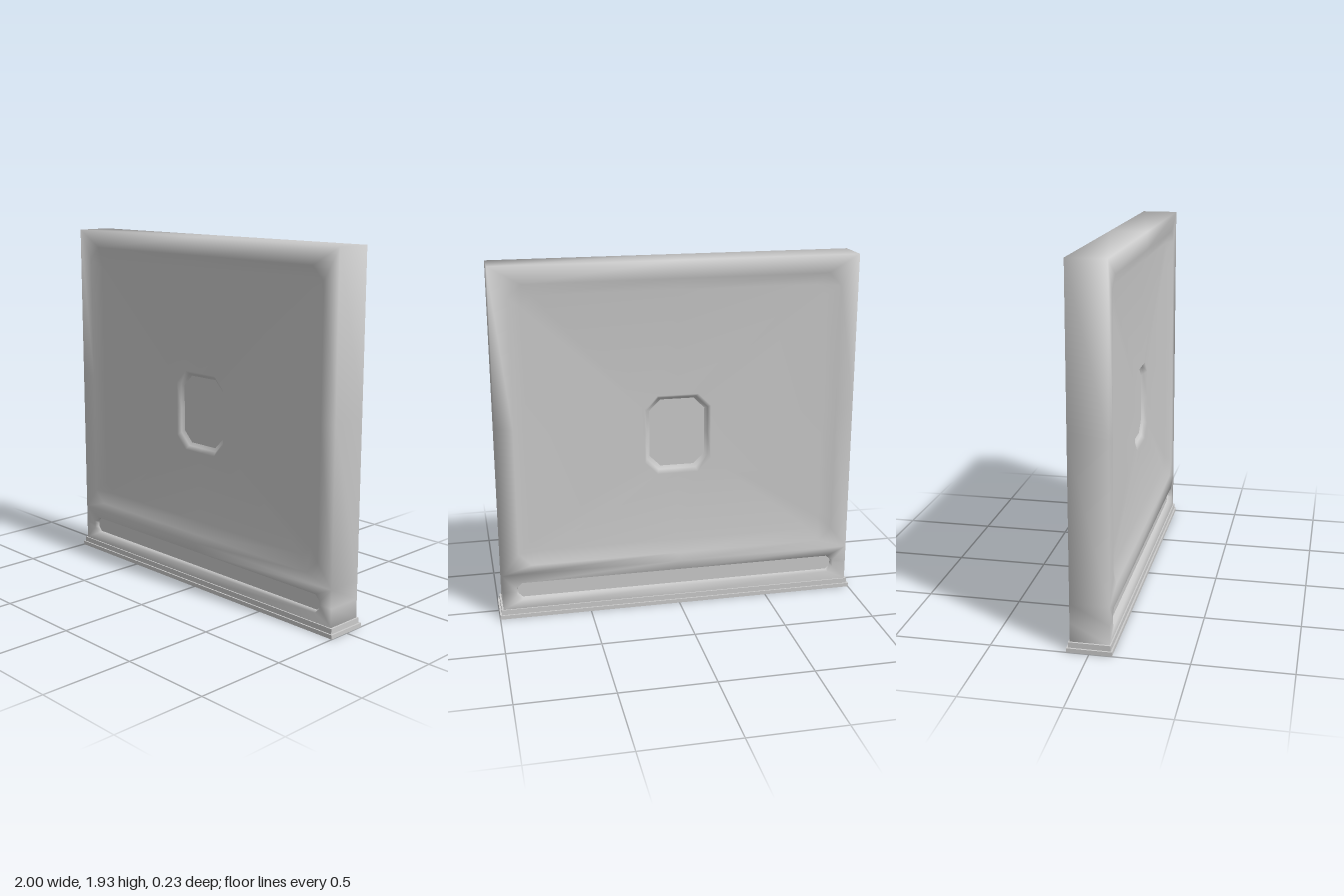
import * as THREE from 'three';
import { mergeGeometries, mergeVertices } from 'three/addons/utils/BufferGeometryUtils.js';

const W = 0.98, TOP = 1.93, FOOT = 0.05, SPLIT = 0.25, Z = 0.1;

// Chamfered rectangle (12 points, with side midpoints), counter-clockwise from the lower right
function loop(hw, y0, y1, c, z) {
  const m = (y0 + y1) / 2;
  return [
    [hw, y0 + c], [hw, m], [hw, y1 - c],
    [hw - c, y1], [0, y1], [-hw + c, y1],
    [-hw, y1 - c], [-hw, m], [-hw, y0 + c],
    [-hw + c, y0], [0, y0], [hw - c, y0],
  ].map(([x, y]) => new THREE.Vector3(x, y, z));
}

function toGeometry(points) {
  return new THREE.BufferGeometry().setFromPoints(points);
}

// Strip between two outlines, skipping faces with no area
function strip(a, b, closed = true) {
  const out = [];
  const add = (p, q, r) => {
    if (p.distanceTo(q) > 1e-5 && q.distanceTo(r) > 1e-5 && r.distanceTo(p) > 1e-5) out.push(p, q, r);
  };
  const n = a.length;
  for (let i = 0; i < (closed ? n : n - 1); i++) {
    const j = (i + 1) % n;
    add(a[i], a[j], b[j]);
    add(a[i], b[j], b[i]);
  }
  return toGeometry(out);
}

// Strips through a series of nested outlines
function nest(...loops) {
  return loops.slice(1).map((l, i) => strip(loops[i], l));
}

function floorOf(l) {
  const mid = new THREE.Vector3(0, (l[1].y + l[7].y) / 2, l[0].z);
  const geo = toGeometry(l.flatMap((p, i) => [mid, p, l[(i + 1) % l.length]]));
  geo.computeVertexNormals();
  return geo;
}

export function createModel() {
  const group = new THREE.Group();
  const material = new THREE.MeshStandardMaterial({ color: 0xcccccc });
  const add = (name, geo) => {
    const mesh = new THREE.Mesh(geo, material);
    mesh.name = name;
    group.add(mesh);
    return mesh;
  };

  // Face: frame, sunken panel and central pocket above, long groove below
  const pocketFloor = loop(0.152, 0.8, 1.175, 0.06, 0.04);
  const grooveFloor = loop(0.895, 0.108, 0.192, 0.025, 0.075);
  const face = mergeGeometries([
    ...nest(
      loop(W, SPLIT, TOP, 0, Z),
      loop(0.885, 0.3, 1.835, 0.07, Z),
      loop(0.815, 0.37, 1.77, 0.06, 0.07),
      loop(0.182, 0.762, 1.203, 0.07, 0.07),
      loop(0.168, 0.782, 1.187, 0.065, 0.05),
      pocketFloor,
    ),
    ...nest(
      loop(W, FOOT, SPLIT, 0, Z),
      loop(0.905, 0.1, 0.2, 0.03, Z),
      grooveFloor,
    ),
  ]);

  // Outer rim joining the two faces
  const right = [FOOT, (FOOT + SPLIT) / 2, SPLIT, (SPLIT + TOP) / 2, TOP].map((y) => [W, y]);
  const left = right.map(([x, y]) => [-x, y]).reverse();
  const rim = (z) => [...right, [0, TOP], ...left].map(([x, y]) => new THREE.Vector3(x, y, z));

  // Slab with shared smooth normals
  const slab = mergeVertices(
    mergeGeometries([face, face.clone().rotateY(Math.PI), strip(rim(-Z), rim(Z), false)]),
    1e-4,
  );
  slab.computeVertexNormals();
  add('slab', slab);

  // Flat floors of the pocket and groove on both faces
  for (const [side, angle] of [['front', 0], ['back', Math.PI]]) {
    add(side + 'PocketFloor', floorOf(pocketFloor)).rotation.y = angle;
    add(side + 'GrooveFloor', floorOf(grooveFloor)).rotation.y = angle;
  }

  // Stepped base
  const steps = [[1, 0, 0.022, 0.115], [0.99, 0.022, FOOT, 0.107]];
  steps.forEach(([hw, y0, y1, hz], i) => {
    add('baseStep' + (i + 1), new THREE.BoxGeometry(hw * 2, y1 - y0, hz * 2)).position.y = (y0 + y1) / 2;
  });

  return group;
}
